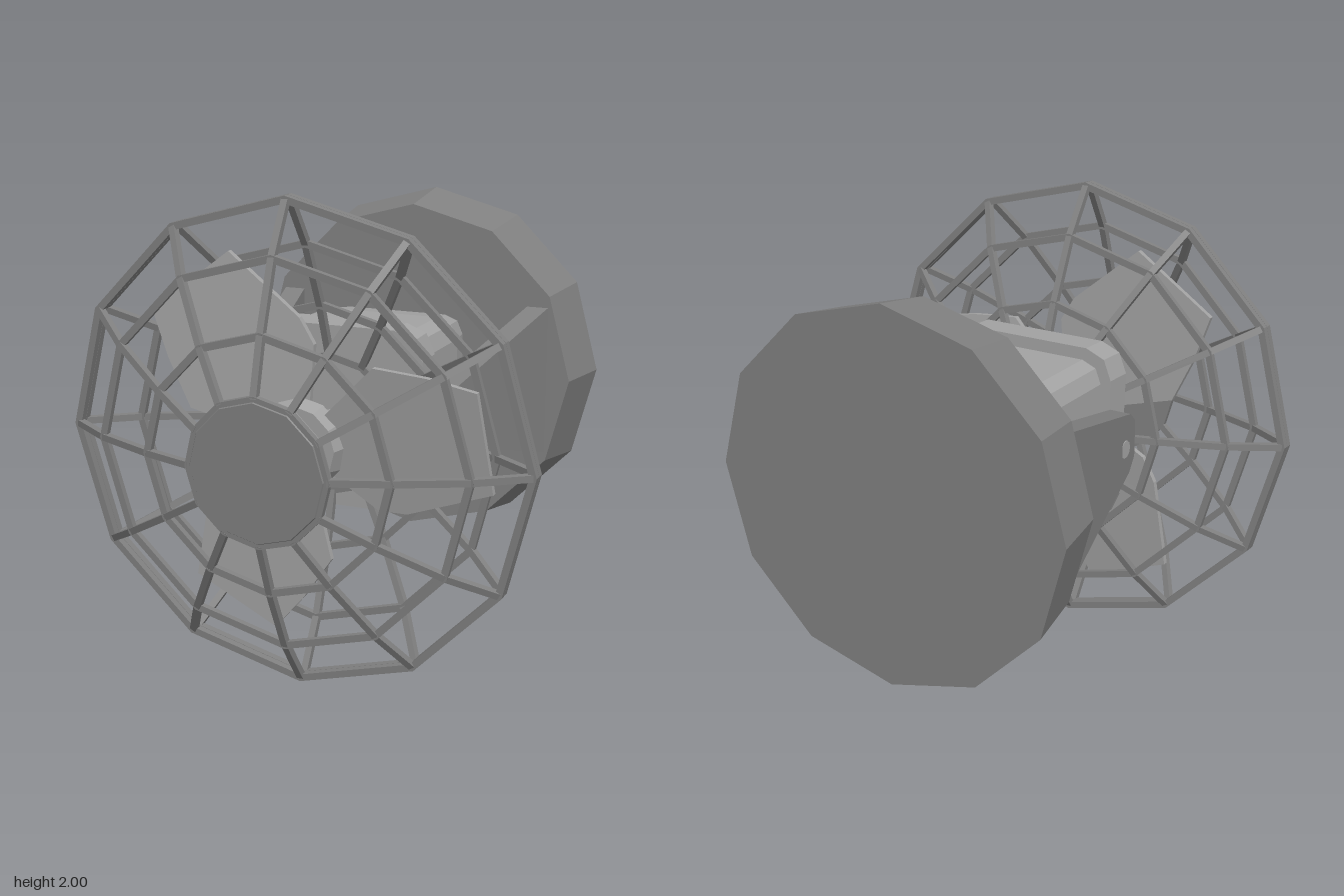
import * as THREE from 'three';

const darkGrey = new THREE.MeshStandardMaterial({ color: 0x808080 });
darkGrey.name = 'darkGrey';
const lightGrey = new THREE.MeshStandardMaterial({ color: 0xa2a2a2 });
lightGrey.name = 'lightGrey';

// Faceted mesh: split shared vertices so every face is flat
function part(name, geometry, material) {
  const g = geometry.index ? geometry.toNonIndexed() : geometry;
  g.computeVertexNormals();
  const mesh = new THREE.Mesh(g, material);
  mesh.name = name;
  return mesh;
}

// Cylinder lying along z
function disc(rFront, rBack, depth, z, sides = 12) {
  return new THREE.CylinderGeometry(rFront, rBack, depth, sides).rotateX(Math.PI / 2).translate(0, 0, z);
}

// Twelve-sided hoop of rectangular section around z
function hoop(r, z, w, d) {
  const p = [[-1, -1], [1, -1], [1, 1], [-1, 1], [-1, -1]]
    .map(([a, b]) => new THREE.Vector2(r + a * w / 2, z + b * d / 2));
  return new THREE.LatheGeometry(p, 12).rotateX(Math.PI / 2);
}

// Square bar between two points
function bar(a, b, size) {
  const g = new THREE.BoxGeometry(size, size, a.distanceTo(b));
  const m = new THREE.Matrix4().lookAt(b, a, new THREE.Vector3(0, 0, 1));
  m.setPosition(a.clone().add(b).multiplyScalar(0.5));
  return g.applyMatrix4(m);
}

// Loft through rounded rectangles [z, halfWidth, halfHeight, cornerRadius], back to front
function loft(sections) {
  const pos = [], index = [], n = 12;
  for (const [z, w, h, r] of sections) {
    for (let c = 0; c < 4; c++) {
      const sx = c === 0 || c === 3 ? 1 : -1, sy = c < 2 ? 1 : -1;
      for (let k = 0; k < 3; k++) {
        const a = (c + k / 2) * Math.PI / 2;
        pos.push(sx * (w - r) + r * Math.cos(a), sy * (h - r) + r * Math.sin(a), z);
      }
    }
  }
  const last = sections.length - 1;
  for (let i = 0; i < last; i++) {
    for (let j = 0; j < n; j++) {
      const a = i * n + j, b = i * n + (j + 1) % n;
      index.push(a, b, b + n, a, b + n, a + n);
    }
  }
  for (let j = 1; j < n - 1; j++) {
    index.push(0, j + 1, j, last * n, last * n + j, last * n + j + 1);
  }
  const g = new THREE.BufferGeometry();
  g.setAttribute('position', new THREE.Float32BufferAttribute(pos, 3));
  g.setIndex(index);
  return g;
}

function shapeOf(points) {
  return new THREE.Shape(points.map(([x, y]) => new THREE.Vector2(x, y)));
}

// Half of the guard: hoops joined by twelve spokes, side = 1 front, -1 back
function cage(side) {
  const group = new THREE.Group();
  group.name = side > 0 ? 'frontCage' : 'rearCage';
  const rings = [[0.985, 0.016], [0.785, 0.147], [0.515, 0.262], [0.29, 0.335]];
  rings.forEach(([r, z], i) => {
    group.add(part('cageHoop', hoop(r, side * z, 0.03, i ? 0.025 : 0.03), darkGrey));
  });
  for (let k = 0; k < 12; k++) {
    const a = k * Math.PI / 6;
    const pts = rings.map(([r, z]) => new THREE.Vector3(r * Math.cos(a), r * Math.sin(a), side * z));
    for (let i = 0; i < 3; i++) group.add(part('cageSpoke', bar(pts[i], pts[i + 1], 0.028), darkGrey));
  }
  return group;
}

// Bracket arm, sheared outwards towards the wall base
function arm(side) {
  const profile = shapeOf([
    [-0.66, 0.74], [0.10, 0.94], [0.165, 0.99], [0.165, 1.15], [0.10, 1.20], [-0.66, 1.40],
  ]);
  const g = new THREE.ExtrudeGeometry(profile, { depth: 0.095, bevelEnabled: false });
  g.rotateY(-Math.PI / 2); // profile x becomes z, thickness becomes -x
  const p = g.attributes.position;
  for (let i = 0; i < p.count; i++) {
    const spread = 0.44 + 0.18 * (0.165 - p.getZ(i));
    p.setX(i, p.getX(i) + 0.0475 + spread + 0.01);
  }
  const mesh = part(side > 0 ? 'leftArm' : 'rightArm', g, darkGrey);
  if (side < 0) {
    mesh.scale.x = -1;
    mesh.position.x = 0.015;
  }
  return mesh;
}

export function createModel() {
  const model = new THREE.Group();
  model.name = 'wallFan';

  // Wall base and bracket
  const base = part('wallBase', disc(0.74, 0.785, 0.28, -0.78), darkGrey);
  base.position.set(0.008, 1.075, 0);
  model.add(base, arm(1), arm(-1));
  for (const side of [1, -1]) {
    const pivot = part('pivotPin', new THREE.CylinderGeometry(0.038, 0.038, 0.13, 10).rotateZ(Math.PI / 2), lightGrey);
    pivot.position.set(side * 0.455 + 0.008, 1.07, 0.03);
    model.add(pivot);
  }

  // Head, tipped slightly downwards; z is measured from the widest hoop
  const head = new THREE.Group();
  head.name = 'fanHead';
  head.position.set(0, 1.003, 0.56);
  head.rotation.x = 0.05;
  model.add(head);

  // Motor housing and collar
  const housing = part('motorHousing', loft([
    [-1.08, 0.27, 0.25, 0.07], [-1.045, 0.305, 0.28, 0.08],
    [-0.87, 0.345, 0.312, 0.09], [-0.44, 0.355, 0.335, 0.09],
  ]), lightGrey);
  const collar = part('motorCollar', loft([[-0.47, 0.4, 0.385, 0.12], [-0.335, 0.4, 0.385, 0.12]]), lightGrey);
  housing.position.set(0.005, 0.03, 0);
  collar.position.set(0.005, 0.03, 0);
  head.add(housing, collar);

  // Guard with centre plate
  head.add(cage(1), cage(-1));
  head.add(part('centrePlate', disc(0.28, 0.305, 0.035, 0.335), darkGrey));

  // Axle, hub and three pitched blades
  head.add(part('axle', disc(0.06, 0.06, 0.3, -0.2), lightGrey));
  head.add(part('hub', disc(0.17, 0.19, 0.07, -0.025), lightGrey));
  for (let k = 0; k < 3; k++) {
    const g = new THREE.ExtrudeGeometry(shapeOf([
      [0.1, -0.1], [0.32, -0.25], [0.44, -0.25], [0.8, -0.12],
      [0.75, 0.29], [0.55, 0.33], [0.33, 0.35], [0.1, 0.12],
    ]), { depth: 0.025, bevelEnabled: false });
    const p = g.attributes.position;
    for (let i = 0; i < p.count; i++) p.setZ(i, p.getZ(i) - 0.07 + 0.11 * p.getY(i));
    const blade = part('blade', g, lightGrey);
    blade.rotation.z = k * Math.PI * 2 / 3;
    head.add(blade);
  }
  return model;
}
